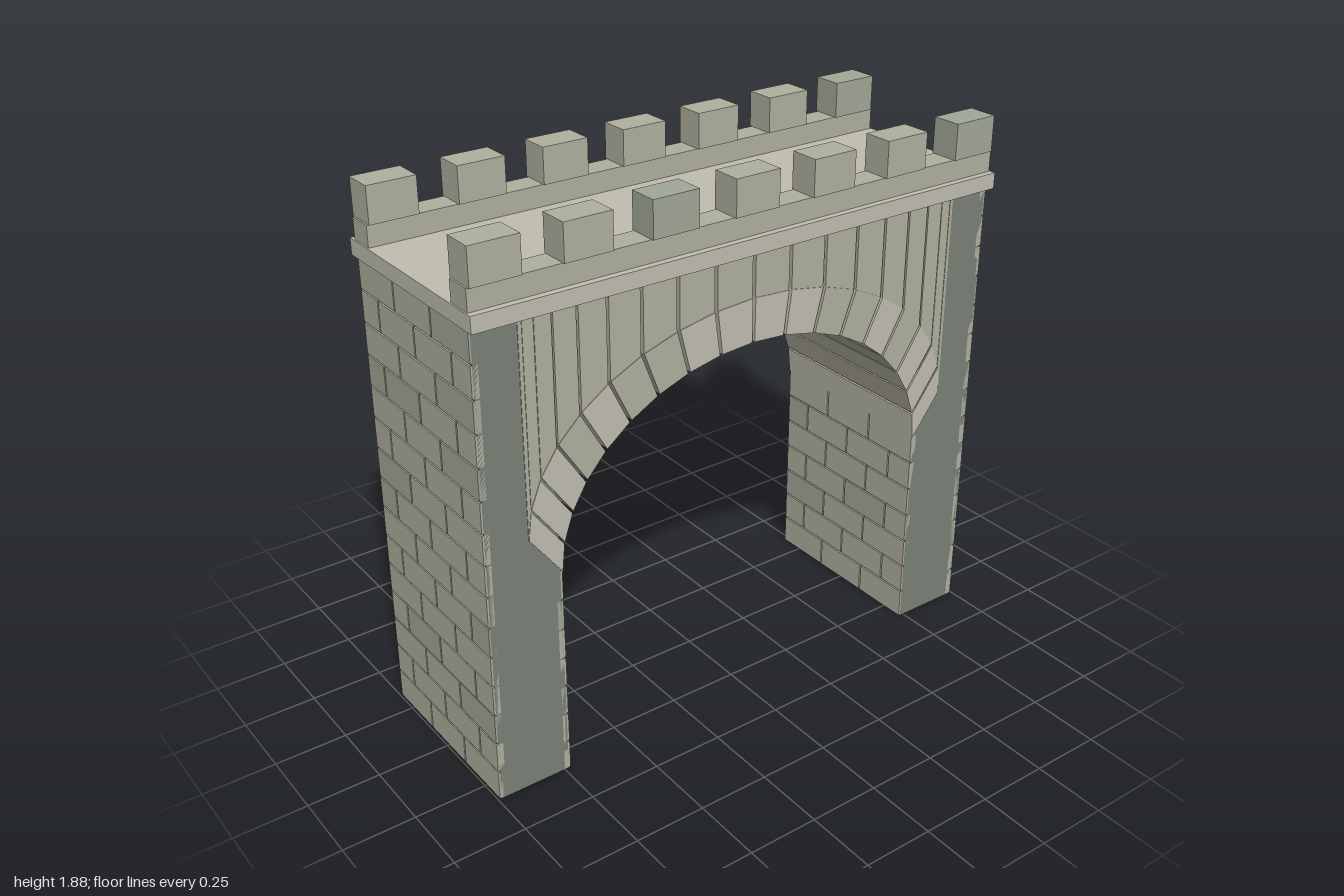
import * as THREE from 'three';

const mat = (color) => new THREE.MeshStandardMaterial({ color });

export function createModel() {
  const stone = mat(0xb0b0a0), green = mat(0xa2a898), trim = mat(0xc0beb0), mortar = mat(0x7a8278);
  const bridge = new THREE.Group();
  bridge.name = 'archBridge';

  // box given by its min and max corners
  const box = (parent, name, material, x0, x1, y0, y1, z0, z1) => {
    const m = new THREE.Mesh(new THREE.BoxGeometry(x1 - x0, y1 - y0, z1 - z0), material);
    m.position.set((x0 + x1) / 2, (y0 + y1) / 2, (z0 + z1) / 2);
    m.name = name;
    parent.add(m);
  };

  // block with a (z, y) outline, running across the bridge
  const block = (parent, name, material, points, halfWidth) => {
    const shape = new THREE.Shape(points.map(([z, y]) => new THREE.Vector2(-z, y)));
    const geo = new THREE.ExtrudeGeometry(shape, { depth: 2 * halfWidth, bevelEnabled: false });
    geo.translate(0, 0, -halfWidth).rotateY(Math.PI / 2);
    const m = new THREE.Mesh(geo, material);
    m.name = name;
    parent.add(m);
  };

  // Piers: mortar core with brick courses on the outer and inner faces
  const W = 0.335, ROWS = 15, rowH = 1.64 / ROWS, joint = 0.003;
  const greenBricks = { 2: [2], 3: [1], 5: [3], 7: [0], 8: [0], 10: [2], 11: [0, 1], 12: [2], 14: [2] };
  const courses = (pier, rows, z0, z1) => {
    for (let r = 0; r < rows; r++) {
      const cuts = r % 2 ? [-W, -0.225, 0, 0.225, W] : [-W, -0.113, 0.113, W];
      for (let i = 0; i < cuts.length - 1; i++) {
        const left = i ? cuts[i] + joint : -W;
        const right = i < cuts.length - 2 ? cuts[i + 1] - joint : W;
        box(pier, 'brick', greenBricks[r]?.includes(i) ? green : stone,
          left, right, r * rowH + joint, (r + 1) * rowH - joint, z0, z1);
      }
    }
  };
  for (const side of [1, -1]) {
    const pier = new THREE.Group();
    pier.name = side > 0 ? 'frontPier' : 'backPier';
    box(pier, 'pierCore', mortar, -W, W, 0, 1.64, 0.735, 0.988);
    courses(pier, ROWS, 0.97, 0.994);
    courses(pier, 7, 0.728, 0.75);
    if (side < 0) pier.rotation.y = Math.PI;
    bridge.add(pier);
  }

  // Arch: wedge stones every ten degrees, each carrying an upright spandrel stone
  const arch = new THREE.Group();
  arch.name = 'arch';
  const STEP = Math.PI / 18, GAP = 0.007;
  const inner = (a) => [0.728 * Math.sin(a), 0.76 + 0.57 * Math.cos(a)];
  const outer = (a) => [0.84 * Math.sin(a), 0.91 + 0.57 * Math.cos(a)];
  for (let i = -9; i < 9; i++) {
    const a = i * STEP + (i > -9 ? GAP : 0);
    const b = (i + 1) * STEP - (i < 8 ? GAP : 0);
    const [oa, ob] = [outer(a), outer(b)];
    const dark = [2, 3, 5].includes(i < 0 ? -1 - i : i);
    block(arch, 'wedgeStone', dark ? stone : trim, [inner(a), inner(b), ob, oa], 0.339);
    block(arch, 'spandrelStone', stone, [oa, ob, [ob[0], 1.64], [oa[0], 1.64]], 0.337);
  }
  bridge.add(arch);

  // Deck slab
  box(bridge, 'deck', trim, -0.365, 0.365, 1.635, 1.69, -1, 1);

  // Parapets with seven merlons each
  for (const side of [1, -1]) {
    const parapet = new THREE.Group();
    parapet.name = side > 0 ? 'leftParapet' : 'rightParapet';
    const span = (near, far) => (side > 0 ? [near, far] : [-far, -near]);
    box(parapet, 'parapetWall', stone, ...span(0.25, 0.342), 1.69, 1.762, -0.995, 0.995);
    for (let i = -3; i <= 3; i++) {
      const z = i * 0.302;
      box(parapet, 'merlon', i === -3 || (i === 1 && side > 0) ? green : stone,
        ...span(0.244, 0.35), 1.762, 1.885, z - 0.083, z + 0.083);
    }
    bridge.add(parapet);
  }
  return bridge;
}
